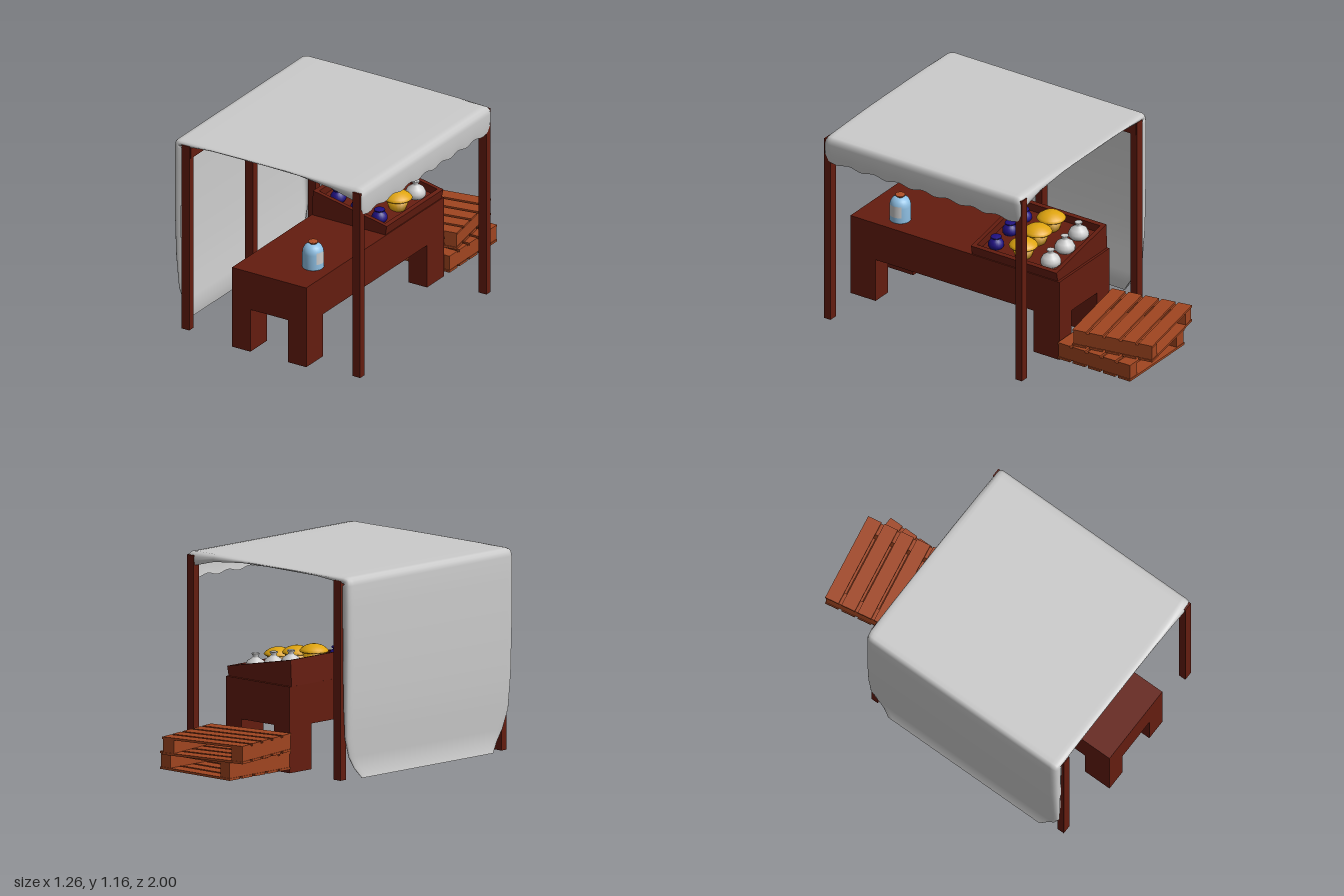
import * as THREE from 'three';

const mat = (color, side = THREE.FrontSide) => new THREE.MeshStandardMaterial({ color, side });
const wood = mat(0x641c0f), palletWood = mat(0xa04520), clothMat = mat(0xcccccc, THREE.DoubleSide);
const purple = mat(0x1f1080), yellow = mat(0xe0a510), white = mat(0xeeeeee);
const water = mat(0x8fc0e4), capMat = mat(0xb05028), labelMat = mat(0xc9ccc8, THREE.DoubleSide);

function add(parent, geometry, material, name) {
  const m = new THREE.Mesh(geometry, material);
  m.name = name;
  parent.add(m);
  return m;
}

// Box given by its extents
function box(parent, name, material, [x0, x1], [y0, y1], [z0, z1]) {
  const m = add(parent, new THREE.BoxGeometry(x1 - x0, y1 - y0, z1 - z0), material, name);
  m.position.set((x0 + x1) / 2, (y0 + y1) / 2, (z0 + z1) / 2);
  return m;
}

function lathe(parent, name, material, points, segments = 20) {
  return add(parent, new THREE.LatheGeometry(points.map(p => new THREE.Vector2(...p)), segments), material, name);
}

function group(parent, name) {
  const g = new THREE.Group();
  g.name = name;
  parent.add(g);
  return g;
}

// Cloth lofted from the hanging side wall, over the roof, to the short scalloped flap.
// Row: x, y, inward direction, depth of the curled end, half length in z, scallop
function buildCloth(parent) {
  const rows = [
    [-0.605, 0.012, 1, 0, 0.004, 0.53, 0],
    [-0.592, 0.07, 1, 0, 0.012, 0.575, 0],
    [-0.594, 0.14, 1, 0, 0.014, 0.62, 0],
    [-0.608, 0.25, 1, 0, 0.025, 0.655, 0],
    [-0.622, 0.45, 1, 0, 0.04, 0.665, 0],
    [-0.631, 0.75, 1, 0, 0.05, 0.667, 0],
    [-0.632, 1.0, 1, 0, 0.055, 0.667, 0],
    [-0.631, 1.12, 1, -0.1, 0.055, 0.667, 0],
    [-0.626, 1.148, 0.85, -0.5, 0.05, 0.664, 0],
    [-0.612, 1.162, 0.4, -0.9, 0.045, 0.664, 0],
    [-0.585, 1.166, 0, -1, 0.035, 0.667, 0],
    [-0.38, 1.166, 0, -1, 0.017, 0.667, 0],
    [0, 1.166, 0, -1, 0.015, 0.667, 0],
    [0.2, 1.166, 0, -1, 0.018, 0.667, 0],
    [0.42, 1.166, 0, -1, 0.04, 0.667, 0],
    [0.575, 1.166, 0, -1, 0.08, 0.667, 0],
    [0.61, 1.162, -0.4, -0.9, 0.055, 0.664, 0],
    [0.626, 1.148, -0.85, -0.5, 0.04, 0.664, 0],
    [0.63, 1.12, -1, -0.1, 0.035, 0.667, 0],
    [0.628, 1.05, -1, 0, 0.025, 0.665, 0.3],
    [0.621, 1.008, -1, 0, 0.012, 0.65, 1],
  ];
  // curled end: distance from the end, fraction of curl depth
  const curl = [[0.008, 1], [0, 0.65], [0.002, 0.35], [0.01, 0.12], [0.028, 0]];
  const inner = 64, pos = [], idx = [];
  let n = 0;
  for (const [x, y, nx, ny, depth, half, wave] of rows) {
    const section = curl.map(([e, d]) => [-half + e, d * depth]);
    const span = half - 0.028;
    for (let i = 1; i < inner; i++) section.push([-span + 2 * span * i / inner, 0]);
    for (const [e, d] of [...curl].reverse()) section.push([half - e, d * depth]);
    n = section.length;
    for (const [z, d] of section) {
      const scallop = wave * 0.008 * Math.cos(z * Math.PI * 2 / 0.167);
      pos.push(x + nx * d, y + ny * d + scallop, z + 0.2825);
    }
  }
  for (let r = 0; r < rows.length - 1; r++)
    for (let c = 0; c < n - 1; c++) {
      const a = r * n + c, b = a + n;
      idx.push(a, a + 1, b, b, a + 1, b + 1);
    }
  const g = new THREE.BufferGeometry();
  g.setAttribute('position', new THREE.Float32BufferAttribute(pos, 3));
  g.setIndex(idx);
  g.computeVertexNormals();
  add(parent, g, clothMat, 'canopyCloth');
}

// Slatted pallet, standing on its own y = 0
function buildPallet(parent, name) {
  const g = group(parent, name);
  const w = 0.27, d = 0.245, h = 0.102, t = 0.013, count = 5, slat = 0.083;
  const step = (2 * d - slat) / (count - 1);
  for (const s of [-1, 1])
    box(g, 'stringer', palletWood, [s * (w - 0.04) - 0.036, s * (w - 0.04) + 0.036], [t, h - t], [-d + 0.004, d - 0.004]);
  for (let i = 0; i < count; i++) {
    const z = -d + i * step;
    for (const y of [0, h - t]) box(g, 'slat', palletWood, [-w, w], [y, y + t], [z, z + slat]);
  }
  return g;
}

// Height of the sloping crate rim at x
const rim = x => 0.65 - (x + 0.197) * 0.193;

function buildCrate(parent) {
  const g = group(parent, 'displayCrate');
  const z0 = -0.4, z1 = 0.18, t = 0.025;
  const slab = (name, pts, depth, z) => {
    const shape = new THREE.Shape(pts.map(p => new THREE.Vector2(...p)));
    add(g, new THREE.ExtrudeGeometry(shape, { depth, bevelEnabled: false }), wood, name).position.z = z;
  };
  const side = [[-0.205, 0.495], [0.283, 0.495], [0.295, rim(0.295)], [-0.197, 0.65]];
  slab('crateEnd', side, t, z0);
  slab('crateEnd', side, t, z1 - t);
  const len = z1 - z0 - 2 * t;
  slab('crateHighSide', [[-0.205, 0.495], [-0.172, 0.495], [-0.172, rim(-0.172)], [-0.197, 0.65]], len, z0 + t);
  slab('crateLowSide', [[0.26, 0.495], [0.283, 0.495], [0.295, rim(0.295)], [0.27, rim(0.27)]], len, z0 + t);
  slab('crateFloor', [[-0.18, 0.495], [0.27, 0.495], [0.27, rim(0.27) - 0.045], [-0.18, rim(-0.18) - 0.045]], len, z0 + t);

  // Three rows of goods, three steps each
  for (const x of [-0.09, 0.045, 0.185]) {
    const y = rim(x) - 0.05;
    const put = (name, z) => {
      const item = group(g, name);
      item.position.set(x, y, z);
      return item;
    };
    const pot = put('purplePot', 0.085);
    lathe(pot, 'potBody', purple, [[0, 0], [0.036, 0], [0.045, 0.015], [0.045, 0.032], [0.034, 0.05],
      [0.022, 0.056], [0.022, 0.062], [0.032, 0.066], [0.03, 0.072], [0, 0.075]]);
    const basket = put('yellowBasket', -0.1);
    lathe(basket, 'basketBody', yellow, [[0, 0], [0.045, 0], [0.068, 0.065], [0, 0.066]]);
    lathe(basket, 'heapedTop', yellow, [[0, 0.066], [0.078, 0.066], [0.083, 0.072], [0.074, 0.084],
      [0.052, 0.1], [0.025, 0.109], [0, 0.111]], 24);
    const sack = put('whiteSack', -0.285);
    lathe(sack, 'sackBody', white, [[0, 0], [0.045, 0], [0.058, 0.015], [0.058, 0.035], [0.046, 0.058],
      [0.02, 0.075], [0.014, 0.083], [0.024, 0.097], [0.02, 0.101], [0, 0.098]]);
  }
}

function buildJar(parent) {
  const g = group(parent, 'waterJar');
  g.position.set(0.17, 0.5, 0.745);
  lathe(g, 'jarBody', water, [[0, 0], [0.058, 0], [0.061, 0.004], [0.061, 0.092], [0.058, 0.112],
    [0.048, 0.132], [0.033, 0.143], [0.022, 0.146], [0, 0.146]], 28);
  lathe(g, 'jarCap', capMat, [[0, 0.143], [0.021, 0.143], [0.021, 0.15], [0.028, 0.153], [0.027, 0.16], [0, 0.16]]);
  const label = new THREE.CylinderGeometry(0.0618, 0.0618, 0.07, 16, 1, true, Math.PI / 2 - 0.7, 1.4);
  add(g, label, labelMat, 'jarLabel').position.y = 0.072;
}

export function createModel() {
  const model = new THREE.Group();
  model.name = 'marketStall';

  // Canopy frame: two posts on the open side, three along the cloth wall
  const post = (x, z) => box(model, 'post', wood, [x - 0.026, x + 0.026], [0.01, 1.145], [z - 0.022, z + 0.022]);
  for (const z of [0.932, -0.365]) post(0.593, z);
  for (const z of [0.932, 0.278, -0.365]) post(-0.545, z);
  box(model, 'topBeam', wood, [-0.568, -0.515], [1.07, 1.143], [-0.38, 0.945]);
  buildCloth(model);

  // Counter with four block legs
  box(model, 'counterTop', wood, [-0.205, 0.29], [0.27, 0.5], [-0.415, 1]);
  for (const x of [[-0.205, -0.082], [0.168, 0.29]])
    for (const z of [[-0.415, -0.24], [0.83, 1]]) box(model, 'counterLeg', wood, x, [0.01, 0.27], z);

  buildCrate(model);
  buildJar(model);

  // Two stacked pallets behind the counter, the upper one turned
  buildPallet(model, 'lowerPallet').position.set(0.05, 0.035, -0.67);
  const upper = buildPallet(model, 'upperPallet');
  upper.position.set(0, 0.139, -0.71);
  upper.rotation.y = 0.177;
  return model;
}
